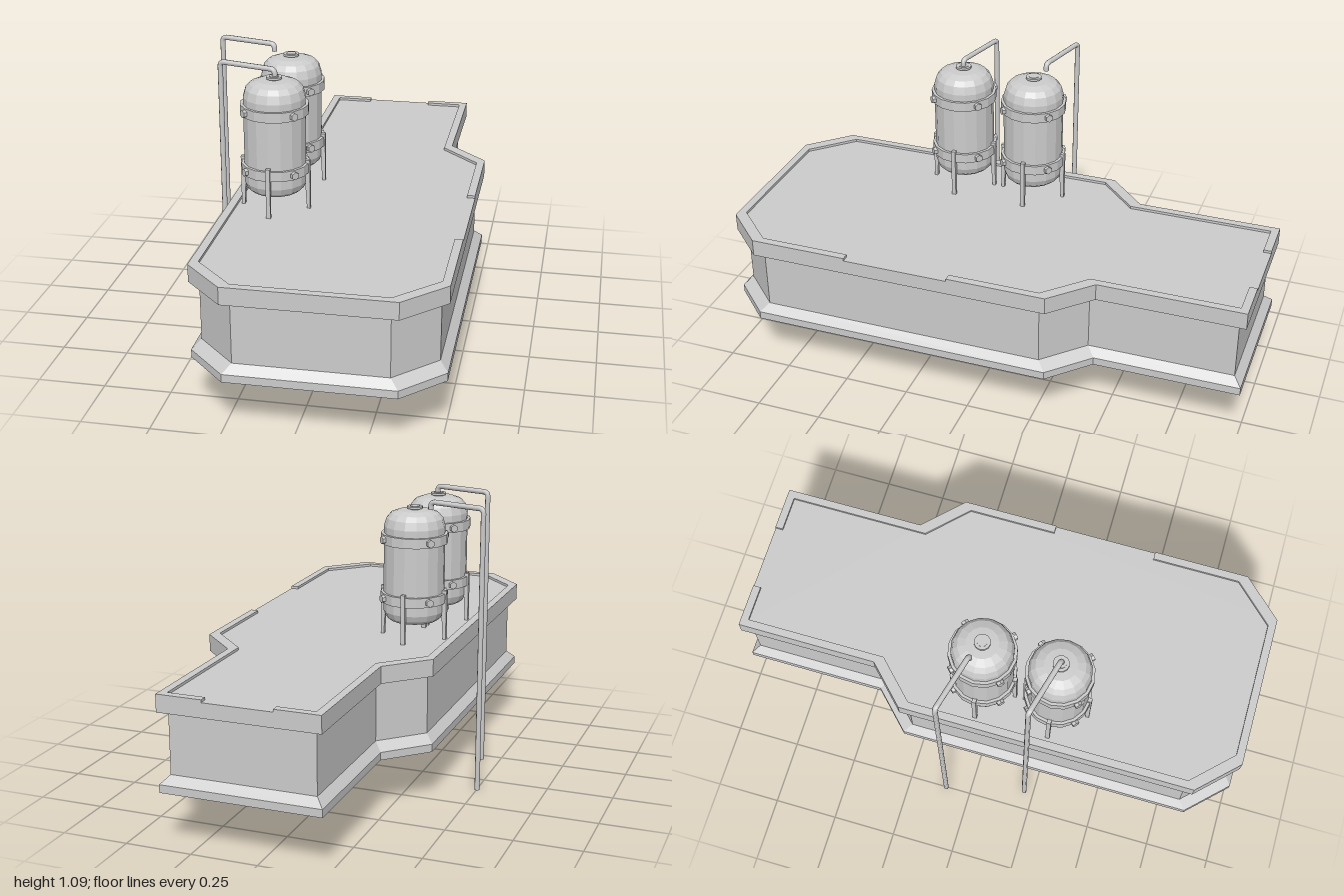
import * as THREE from 'three';

const flat = new THREE.MeshStandardMaterial({ color: 0xcccccc, flatShading: true, side: THREE.DoubleSide });
const smooth = new THREE.MeshStandardMaterial({ color: 0xcccccc });

function add(parent, name, geometry, material = flat) {
  const mesh = new THREE.Mesh(geometry, material);
  mesh.name = name;
  parent.add(mesh);
  return mesh;
}

// Platform outline, symmetric about CX, moved inwards by d
const CX = 0.0615, W = 0.447, N = 0.3, DECK = 0.555, TOP = 0.565;
const rightEdge = (d) => [
  [N - d, 1 - d], [W - d, 0.85 - d], [W - d, -0.305 + d], [N - d, -0.45 + d], [N - d, -1 + d],
];
const leftEdge = (d) => rightEdge(d).reverse().map(([u, z]) => [-u, z]);
const outline = (d) => [...rightEdge(d), ...leftEdge(d)];
const toShape = (pts) => new THREE.Shape(pts.map(([u, z]) => new THREE.Vector2(u + CX, -z)));

// Skin between outlines at successive [inset, height] steps
function loft(profile) {
  const pos = [], index = [];
  const n = outline(0).length;
  for (const [d, y] of profile) for (const [u, z] of outline(d)) pos.push(u + CX, y, z);
  for (let r = 0; r < profile.length - 1; r++) {
    for (let i = 0; i < n; i++) {
      const a = r * n + i, b = r * n + (i + 1) % n;
      index.push(a, b, a + n, b, b + n, a + n);
    }
  }
  let g = new THREE.BufferGeometry();
  g.setAttribute('position', new THREE.Float32BufferAttribute(pos, 3));
  g.setIndex(index);
  g = g.toNonIndexed();
  g.computeVertexNormals();
  return g;
}

function buildPlatform() {
  const g = new THREE.Group();
  g.name = 'platform';
  // Hollow shell: flared base, wall, overhanging rim
  add(g, 'wall', loft([[0, 0.21], [0, 0.24], [0.03, 0.27], [0.03, 0.5], [0, 0.5], [0, DECK]]));
  add(g, 'deck', new THREE.ShapeGeometry(toShape(outline(0))).rotateX(-Math.PI / 2).translate(0, DECK, 0));

  // Raised lip, with one gap at the side and one at the back
  const lips = [
    (d) => [[W - d, 0.07], ...rightEdge(d).slice(2), [0.13, -1 + d]],
    (d) => [[-0.13, -1 + d], ...leftEdge(d), ...rightEdge(d).slice(0, 2), [W - d, 0.475]],
  ];
  for (const lip of lips) {
    const shape = toShape([...lip(0), ...lip(0.03).reverse()]);
    const geo = new THREE.ExtrudeGeometry(shape, { depth: TOP - DECK, bevelEnabled: false });
    add(g, 'lip', geo.rotateX(-Math.PI / 2).translate(0, DECK, 0));
  }
  return g;
}

function buildTank() {
  const g = new THREE.Group();
  g.name = 'tank';
  const body = [
    [0, 0.615], [0.065, 0.617], [0.09, 0.624], [0.106, 0.637], [0.115, 0.66],
    [0.115, 0.985], [0.106, 1.015], [0.09, 1.033], [0.06, 1.044], [0, 1.047],
  ].map(([r, y]) => new THREE.Vector2(r, y));
  add(g, 'body', new THREE.LatheGeometry(body, 16));

  // Clamp bands with bolts on the diagonals
  for (const y of [0.715, 0.94]) {
    add(g, 'band', new THREE.CylinderGeometry(0.126, 0.126, 0.037, 16).translate(0, y, 0));
    for (let i = 0; i < 4; i++) {
      const bolt = new THREE.CylinderGeometry(0.015, 0.015, 0.03, 6).rotateX(Math.PI / 2);
      add(g, 'bolt', bolt.translate(0, y, 0.122).rotateY((i + 0.5) * Math.PI / 2));
    }
  }

  // Four legs, narrowing towards the foot
  const legShape = new THREE.Shape([
    [0.112, 0.745], [0.112, 0.66], [0.118, DECK], [0.13, DECK], [0.13, 0.745],
  ].map(([r, y]) => new THREE.Vector2(r, y)));
  for (let i = 0; i < 4; i++) {
    const leg = new THREE.ExtrudeGeometry(legShape, { depth: 0.016, bevelEnabled: false });
    add(g, 'leg', leg.translate(0, 0, -0.008).rotateY(i * Math.PI / 2));
  }

  // Inlet on top
  add(g, 'inletNeck', new THREE.CylinderGeometry(0.019, 0.019, 0.02, 12).translate(0, 1.05, 0));
  add(g, 'inletFlange', new THREE.CylinderGeometry(0.03, 0.03, 0.008, 12).translate(0, 1.054, 0));
  return g;
}

// Pipe rising from the ground, crossing over and turning down
function buildPipe() {
  const g = new THREE.Group();
  g.name = 'pipe';
  const R = 0.01, H = 1.083, E = 0.018;
  const end = new THREE.Vector3(0.218, 0, 0.058);
  const dir = end.clone().normalize();
  const at = (s, y) => dir.clone().multiplyScalar(s).setY(y);
  const L = end.length();
  const path = new THREE.CurvePath();
  path.add(new THREE.LineCurve3(at(0, 0), at(0, H - E)));
  path.add(new THREE.QuadraticBezierCurve3(at(0, H - E), at(0, H), at(E, H)));
  path.add(new THREE.LineCurve3(at(E, H), at(L - E, H)));
  path.add(new THREE.QuadraticBezierCurve3(at(L - E, H), at(L, H), at(L, H - E)));
  path.add(new THREE.LineCurve3(at(L, H - E), at(L, 1.055)));
  add(g, 'tube', new THREE.TubeGeometry(path, 200, R, 8), smooth);
  for (const p of [at(0, 0), at(L, 1.055)]) {
    add(g, 'pipeEnd', new THREE.CircleGeometry(R, 8).rotateX(Math.PI / 2).translate(p.x, p.y, p.z));
  }
  return g;
}

export function createModel() {
  const model = new THREE.Group();
  model.name = 'tankPlatform';
  model.add(buildPlatform());
  for (const z of [-0.016, 0.27]) {
    const tank = buildTank();
    tank.position.set(-0.212, 0, z);
    model.add(tank);
  }
  for (const [x, z] of [[-0.501, -0.1], [-0.427, 0.212]]) {
    const pipe = buildPipe();
    pipe.position.set(x, 0, z);
    model.add(pipe);
  }
  return model;
}
